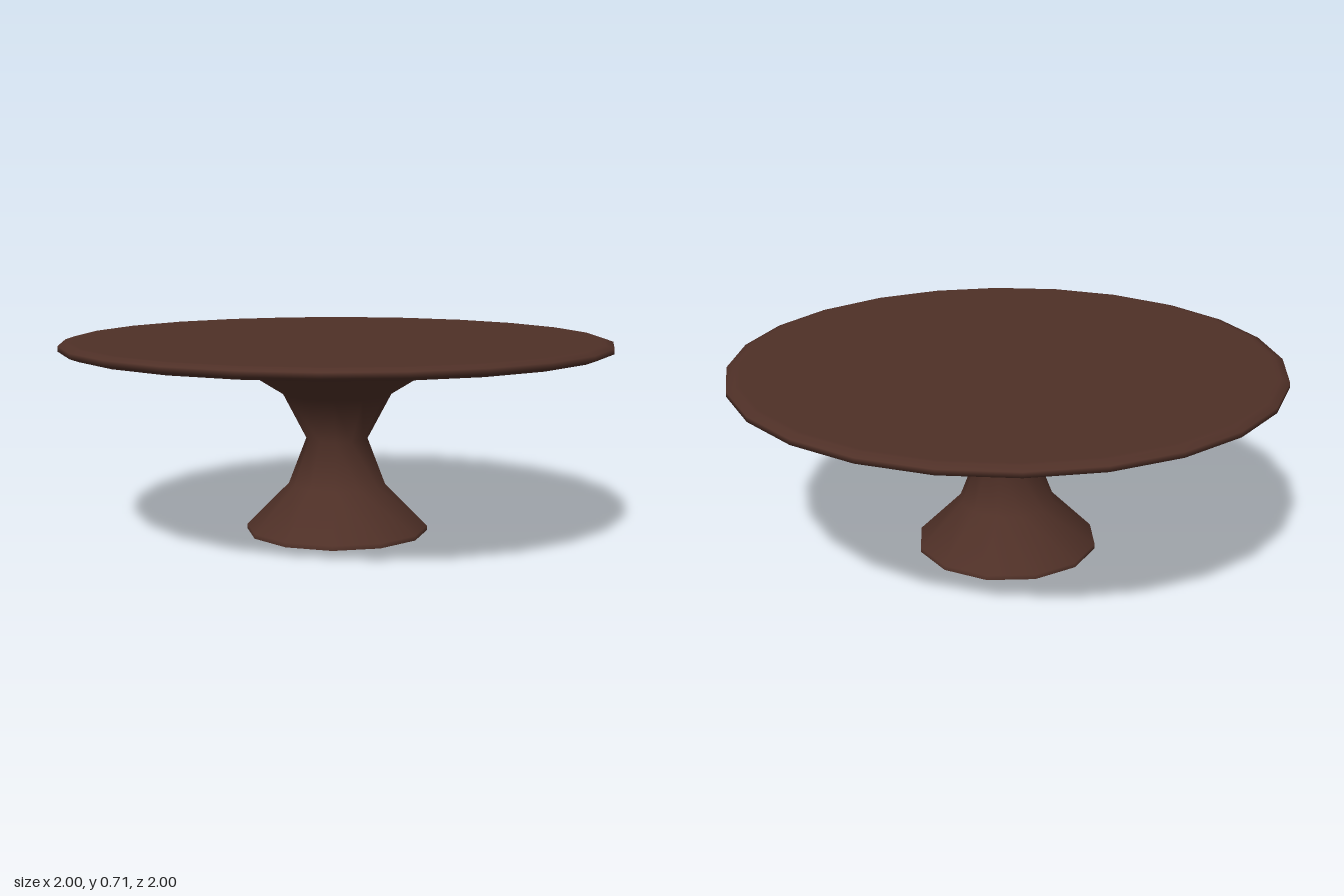
import * as THREE from 'three';

// Turn a profile of [radius, height] pairs, listed from the bottom up
function turned(name, profile, sides, material) {
  const points = profile.map(([r, y]) => new THREE.Vector2(r, y));
  const mesh = new THREE.Mesh(new THREE.LatheGeometry(points, sides), material);
  mesh.name = name;
  return mesh;
}

export function createModel() {
  const wood = new THREE.MeshStandardMaterial({ color: 0x4f3027, side: THREE.DoubleSide });
  wood.name = 'dark brown wood';

  const table = new THREE.Group();
  table.name = 'roundTable';

  // Thin round top with a softened edge; the inner rings keep the faces flat
  table.add(turned('tableTop', [
    [0, 0.675], [0.955, 0.675], [0.97, 0.675], [1, 0.686],
    [1, 0.705], [0.97, 0.715], [0.955, 0.715], [0, 0.715],
  ], 24, wood));

  // Hollow hourglass pedestal, open underneath
  table.add(turned('pedestal', [
    [0.335, 0], [0.335, 0.017], [0.178, 0.175],
    [0.113, 0.345], [0.2, 0.51], [0.475, 0.677],
  ], 12, wood));

  return table;
}
